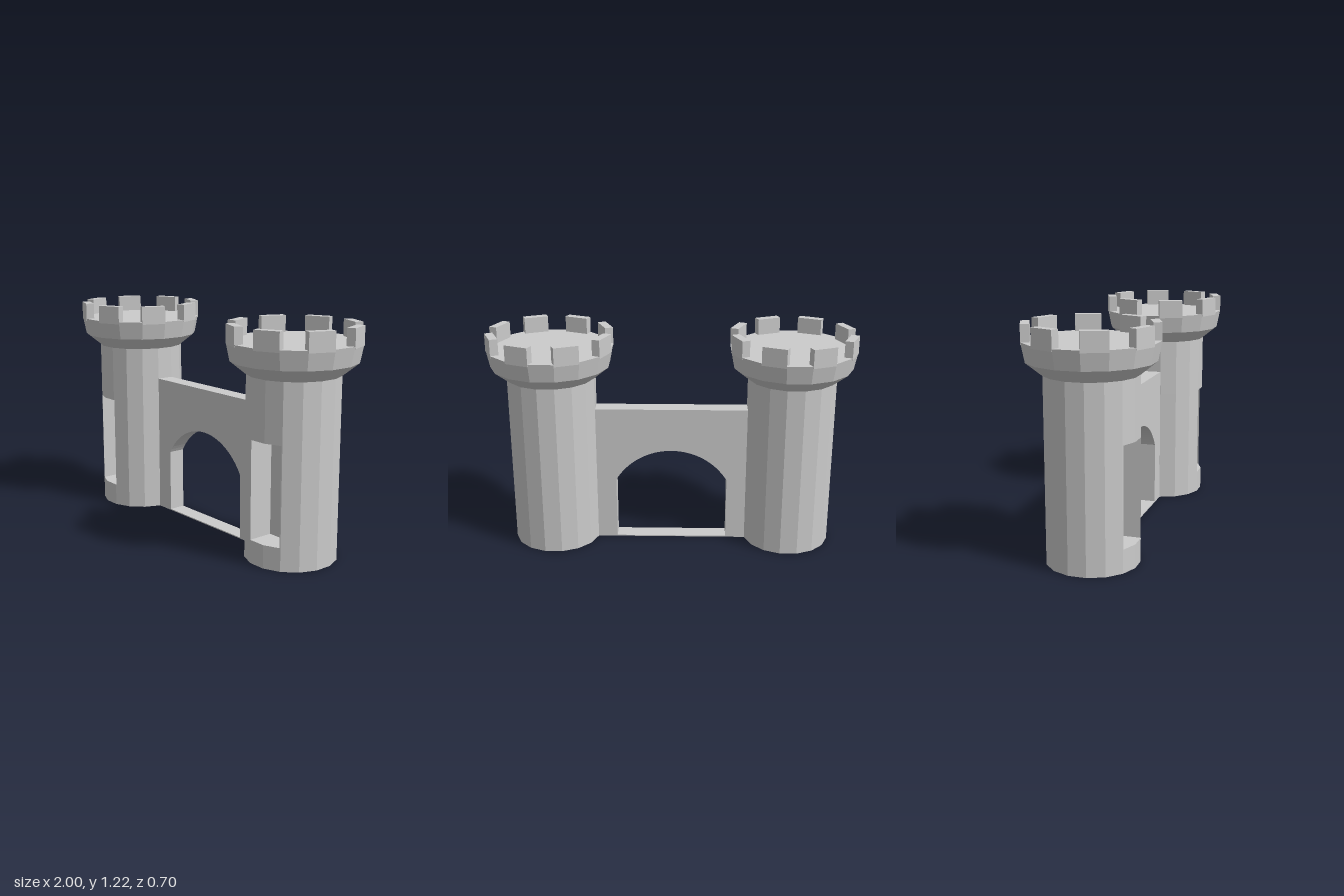
import * as THREE from 'three';

const SIDES = 16;
const STEP = (Math.PI * 2) / SIDES;
const SHAFT_R = 0.243;
const TOP_R = 0.346;
const material = new THREE.MeshStandardMaterial({ color: 0xcccccc, flatShading: true });

function addMesh(parent, geometry, name) {
  const mesh = new THREE.Mesh(geometry, material);
  mesh.name = name;
  parent.add(mesh);
  return mesh;
}

// Upright prism from a plan outline of [x, z] points
function prism(points, y0, y1) {
  const shape = new THREE.Shape(points.map(([x, z]) => new THREE.Vector2(x, z)));
  const geometry = new THREE.ExtrudeGeometry(shape, { depth: y1 - y0, bevelEnabled: false });
  return geometry.rotateX(Math.PI / 2).translate(0, y1, 0);
}

// Shaft corners, starting just left of the front face
function shaftCorners() {
  return Array.from({ length: SIDES }, (_, i) => {
    const a = (i + 4.5) * STEP;
    return [SHAFT_R * Math.cos(a), SHAFT_R * Math.sin(a)];
  });
}

// z of the shaft's front surface at a given x
function frontZ(x) {
  const apothem = SHAFT_R * Math.cos(STEP / 2);
  let z = Infinity;
  for (let k = 1; k < 8; k++) {
    z = Math.min(z, (apothem - x * Math.cos(k * STEP)) / Math.sin(k * STEP));
  }
  return z;
}

function tower(side) {
  const group = new THREE.Group();
  group.name = side > 0 ? 'leftTower' : 'rightTower';

  // Shaft in three storeys, the middle one notched by a tall niche
  const full = shaftCorners();
  const x0 = side * 0.04 - 0.09;
  const x1 = side * 0.04 + 0.09;
  const backZ = 0.1;
  const notched = full.filter(([x, z]) => z < 0 || x < x0 || x > x1);
  notched.push([x1, frontZ(x1)], [x1, backZ], [x0, backZ], [x0, frontZ(x0)]);
  addMesh(group, prism(full, 0, 0.125), 'shaftBase');
  addMesh(group, prism(notched, 0.125, 0.65), 'shaftWithNiche');
  addMesh(group, prism(full, 0.65, 0.965), 'shaftTop');

  // Flared head
  const profile = [[0, 0.965], [SHAFT_R, 0.965], [0.326, 1.032], [TOP_R, 1.132], [0, 1.132]]
    .map(([r, y]) => new THREE.Vector2(r, y));
  addMesh(group, new THREE.LatheGeometry(profile, SIDES, STEP / 2), 'head');

  // Merlons on every other edge of the head
  const width = 2 * TOP_R * Math.sin(STEP / 2);
  const depth = 0.045;
  const reach = TOP_R * Math.cos(STEP / 2) - depth / 2;
  for (let k = 0; k < SIDES; k += 2) {
    const geometry = new THREE.BoxGeometry(width, 0.1, depth);
    geometry.translate(0, 1.17, reach).rotateY((k + 1) * STEP);
    addMesh(group, geometry, 'merlon');
  }

  group.position.x = side * 0.66;
  return group;
}

// Gate wall with a segmental arch over a thin sill
function gateWall() {
  const shape = new THREE.Shape();
  shape.moveTo(-0.45, 0).lineTo(0.45, 0).lineTo(0.45, 0.785).lineTo(-0.45, 0.785).closePath();
  const half = 0.313, spring = 0.36, rise = 0.18;
  const radius = (half * half + rise * rise) / (2 * rise);
  const centreY = spring + rise - radius;
  const start = Math.atan2(spring - centreY, half);
  const hole = new THREE.Path();
  hole.moveTo(-half, 0.006).lineTo(half, 0.006).lineTo(half, spring);
  hole.absarc(0, centreY, radius, start, Math.PI - start, false);
  hole.closePath();
  shape.holes.push(hole);
  const thickness = 0.094;
  const geometry = new THREE.ExtrudeGeometry(shape, { depth: thickness, bevelEnabled: false, curveSegments: 16 });
  return geometry.translate(0, 0, -thickness / 2);
}

export function createModel() {
  const model = new THREE.Group();
  model.name = 'castleGate';
  model.add(tower(1), tower(-1));
  addMesh(model, gateWall(), 'gateWall');
  // The whole gate stands very slightly turned
  model.rotation.y = -0.0135;
  return model;
}
